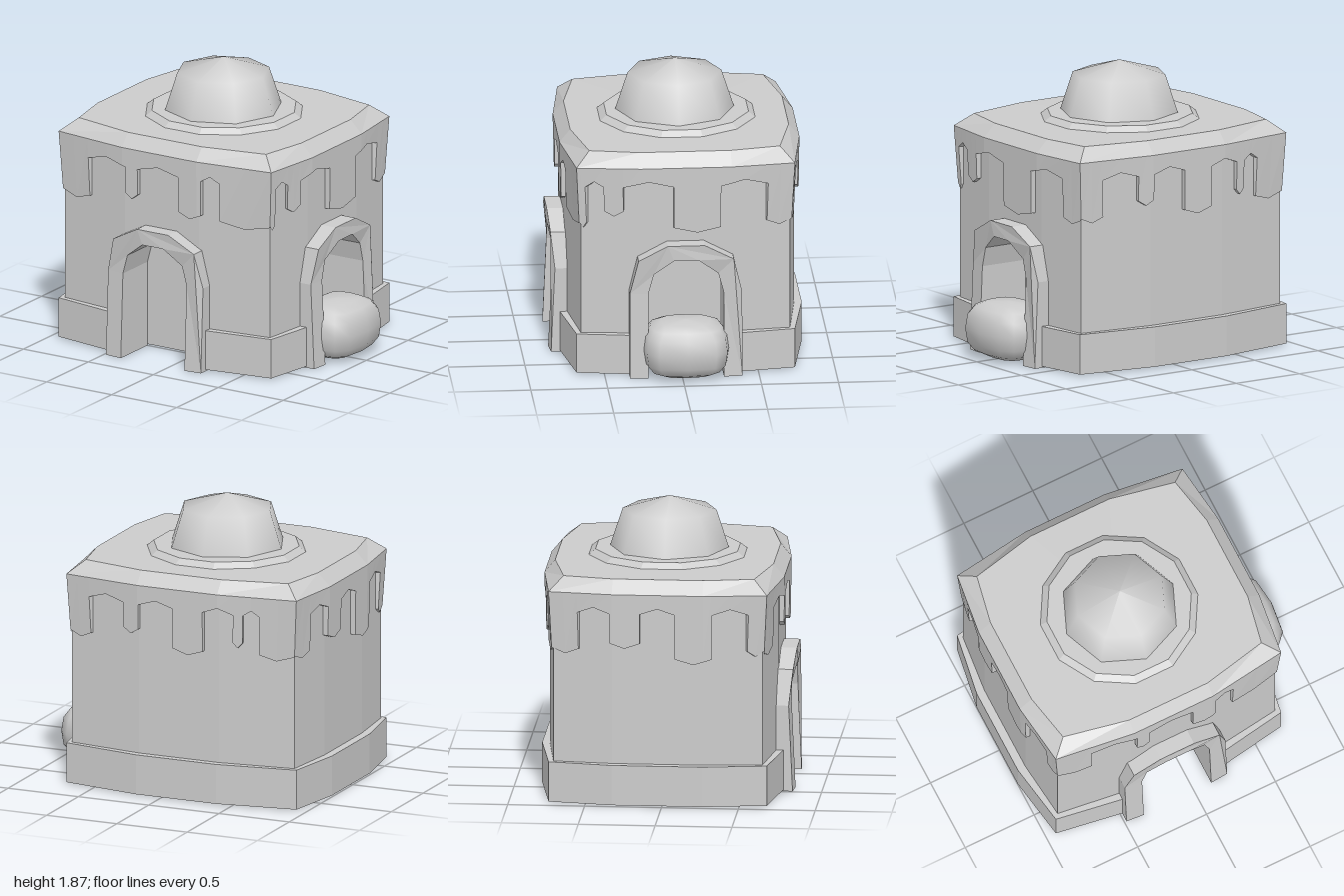
import * as THREE from 'three';

const CX = -0.115, CZ = -0.03;
const grey = new THREE.MeshStandardMaterial({ color: 0xcccccc });
const flat = new THREE.MeshStandardMaterial({ color: 0xcccccc, flatShading: true });

function add(group, name, geometry, material = flat) {
  const mesh = new THREE.Mesh(geometry, material);
  mesh.name = name;
  group.add(mesh);
  return mesh;
}

// Bulging square plan: per side a corner and two middle points, order front, right, back, left
function ring(hx, hz, bx, bz) {
  const mx = 0.285, mz = 0.295;
  return [
    [-hx, hz], [-mx, bz], [mx, bz],
    [hx, hz], [bx, mz], [bx, -mz],
    [hx, -hz], [mx, -bz], [-mx, -bz],
    [-hx, -hz], [-bx, -mz], [-bx, mz],
  ].map(([x, z]) => [x + CX, z + CZ]);
}

// Cut the front and right doorway recesses into a plan
function withDoorways(plan) {
  const p = plan.slice(), bx = plan[4][0], bz = plan[1][1];
  p.splice(5, 0, [bx, 0.225], [0.46, 0.225], [0.46, -0.275], [bx, -0.275]);
  p.splice(2, 0, [-0.37, bz], [-0.37, 0.5], [0.13, 0.5], [0.13, bz]);
  return p;
}

// Upright prism over a plan
function prism(plan, y0, y1) {
  const shape = new THREE.Shape(plan.map(([x, z]) => new THREE.Vector2(x, -z)));
  const g = new THREE.ExtrudeGeometry(shape, { depth: y1 - y0, bevelEnabled: false });
  return g.rotateX(-Math.PI / 2).translate(0, y0, 0);
}

function fromTriangles(pos) {
  const g = new THREE.BufferGeometry();
  g.setAttribute('position', new THREE.Float32BufferAttribute(pos, 3));
  g.computeVertexNormals();
  return g;
}
const quad = (pos, a, b, c, d) => pos.push(...a, ...b, ...c, ...a, ...c, ...d);
const mix = (a, b, t) => a.map((v, i) => v + (b[i] - v) * t);

// Point on a plan, at fraction f along one side; m is the fraction of the first middle point
function along(plan, side, f, m) {
  const p = [0, 1, 2, 3].map((i) => plan[(side * 3 + i) % 12]);
  if (f <= m) return mix(p[0], p[1], f / m);
  if (f <= 1 - m) return mix(p[1], p[2], (f - m) / (1 - 2 * m));
  return mix(p[2], p[3], (f - 1 + m) / m);
}

const wallPlan = ring(0.79, 0.68, 0.83, 0.745);
const skirtTop = ring(0.818, 0.71, 0.87, 0.78);
const skirtLow = ring(0.795, 0.69, 0.865, 0.775);
const EAVE = 1.41;

// Hanging teeth per side: start, end, height of the tip
const teeth = [
  [[0, 0.147, 0.985], [0.34, 0.396, 1.07], [0.589, 0.693, 1.01], [0.776, 1, 0.99]],
  [[0, 0.035, 1.0], [0.12, 0.21, 1.08], [0.443, 0.66, 0.965], [0.88, 1, 0.99]],
  [[0, 0.1, 1.0], [0.26, 0.33, 1.08], [0.48, 0.61, 0.98], [0.74, 0.78, 1.06], [0.85, 1, 0.99]],
  [[0, 0.13, 1.0], [0.28, 0.42, 1.05], [0.58, 0.75, 0.95], [0.92, 1, 1.0]],
];

// Lower outline of the skirt on one side, with extra points where the plan bends
function outline(side, m) {
  const pts = [];
  teeth[side].forEach(([a, b, tip], i, all) => {
    pts.push([a, tip + 0.035], [(a + b) / 2, tip], [b, tip + 0.035]);
    const next = all[i + 1];
    if (next) pts.push([b, 1.28], [(b + next[0]) / 2, 1.318], [next[0], 1.28]);
  });
  for (const f of [m, 1 - m]) {
    const i = pts.findIndex((p) => p[0] > f);
    const [a, b] = [pts[i - 1], pts[i]];
    if (a[0] < f) pts.splice(i, 0, mix(a, b, (f - a[0]) / (b[0] - a[0])));
  }
  return pts;
}

function skirtGeometry() {
  const pos = [];
  for (let side = 0; side < 4; side++) {
    const m = side % 2 ? 0.292 : 0.325;
    const at = (plan, f, y) => { const [x, z] = along(plan, side, f, m); return [x, y, z]; };
    const cols = outline(side, m).map(([f, y]) => {
      const t = (EAVE - y) / 0.41;
      return {
        f,
        top: at(skirtTop, f, EAVE),
        out: mix(at(skirtTop, f, y), at(skirtLow, f, y), t),
        inn: at(wallPlan, f, y),
      };
    });
    for (let i = 0; i + 1 < cols.length; i++) {
      const a = cols[i], b = cols[i + 1];
      if (b.f > a.f) quad(pos, a.out, b.out, b.top, a.top);
      quad(pos, a.inn, b.inn, b.out, a.out);
    }
  }
  return fromTriangles(pos);
}

// Chamfered roof edge and roof surface
function roofGeometry() {
  const pos = [], inner = ring(0.72, 0.62, 0.785, 0.71);
  const up = ([x, z], y) => [x, y, z];
  for (let i = 0; i < 12; i++) {
    const j = (i + 1) % 12;
    const a = up(inner[i], 1.495), b = up(inner[j], 1.495);
    quad(pos, up(skirtTop[i], EAVE), up(skirtTop[j], EAVE), b, a);
    pos.push(...a, ...b, CX, 1.5, CZ);
  }
  return fromTriangles(pos);
}

// Door surround, front face at z = 0, slightly waisted
function archGeometry(depth) {
  const outer = [[0.365, 0], [0.365, 0.57], [0.31, 0.8], [0.12, 0.9]];
  const inner = [[0.245, 0], [0.245, 0.57], [0.21, 0.7], [0.08, 0.8]];
  const mirror = (pts) => pts.map(([x, y]) => [-x, y]);
  const pts = [
    ...outer, ...mirror(outer).reverse(),
    ...mirror(inner), ...inner.slice().reverse(),
  ];
  const shape = new THREE.Shape(pts.map(([x, y]) => new THREE.Vector2(x, y)));
  const g = new THREE.ExtrudeGeometry(shape, { depth, bevelEnabled: false }).translate(0, 0, -depth);
  const p = g.attributes.position;
  for (let i = 0; i < p.count; i++) {
    if (p.getZ(i) < -0.01) continue;
    const y = p.getY(i);
    const waist = y > 0.5 && y < 0.75 ? 0.025 : 0;
    p.setZ(i, -waist - (Math.abs(p.getX(i)) > 0.3 ? 0.01 : 0));
  }
  g.computeVertexNormals();
  return g;
}

// Plump sack: a sphere pushed towards a box
function sackGeometry() {
  const g = new THREE.SphereGeometry(1, 12, 8), p = g.attributes.position;
  const puff = (v, e) => Math.sign(v) * Math.abs(v) ** e;
  for (let i = 0; i < p.count; i++) {
    p.setXYZ(i, puff(p.getX(i), 0.7) * 0.24, puff(p.getY(i), 0.75) * 0.188, puff(p.getZ(i), 0.6) * 0.285);
  }
  g.computeVertexNormals();
  return g;
}

export function createModel() {
  const model = new THREE.Group();
  model.name = 'domedHouse';

  // Walls and plinth
  add(model, 'plinth', prism(withDoorways(ring(0.818, 0.71, 0.885, 0.795)), 0.01, 0.275));
  add(model, 'lowerWalls', prism(withDoorways(wallPlan), 0.02, 0.805));
  add(model, 'upperWalls', prism(wallPlan, 0.805, EAVE));

  // Roof with ragged skirt
  add(model, 'roofSkirt', skirtGeometry());
  add(model, 'roof', roofGeometry());

  // Dome on its collar
  const collar = new THREE.CylinderGeometry(0.478, 0.533, 0.045, 12).rotateY(Math.PI / 12);
  add(model, 'domeCollar', collar).position.set(CX, 1.51, CZ);
  const profile = [[0.39, 1.52], [0.305, 1.78], [0, 1.87]].map(([r, y]) => new THREE.Vector2(r, y));
  add(model, 'dome', new THREE.LatheGeometry(profile, 8), grey).position.set(CX, 0, -0.02);

  // Doorways
  add(model, 'frontDoorSurround', archGeometry(0.32)).position.set(-0.12, 0, 0.82);
  const sideArch = add(model, 'sideDoorSurround', archGeometry(0.365));
  sideArch.rotation.y = Math.PI / 2;
  sideArch.position.set(0.825, 0, -0.025);

  // Sack lying in the side doorway
  add(model, 'sack', sackGeometry(), grey).position.set(0.76, 0.193, -0.025);
  return model;
}
